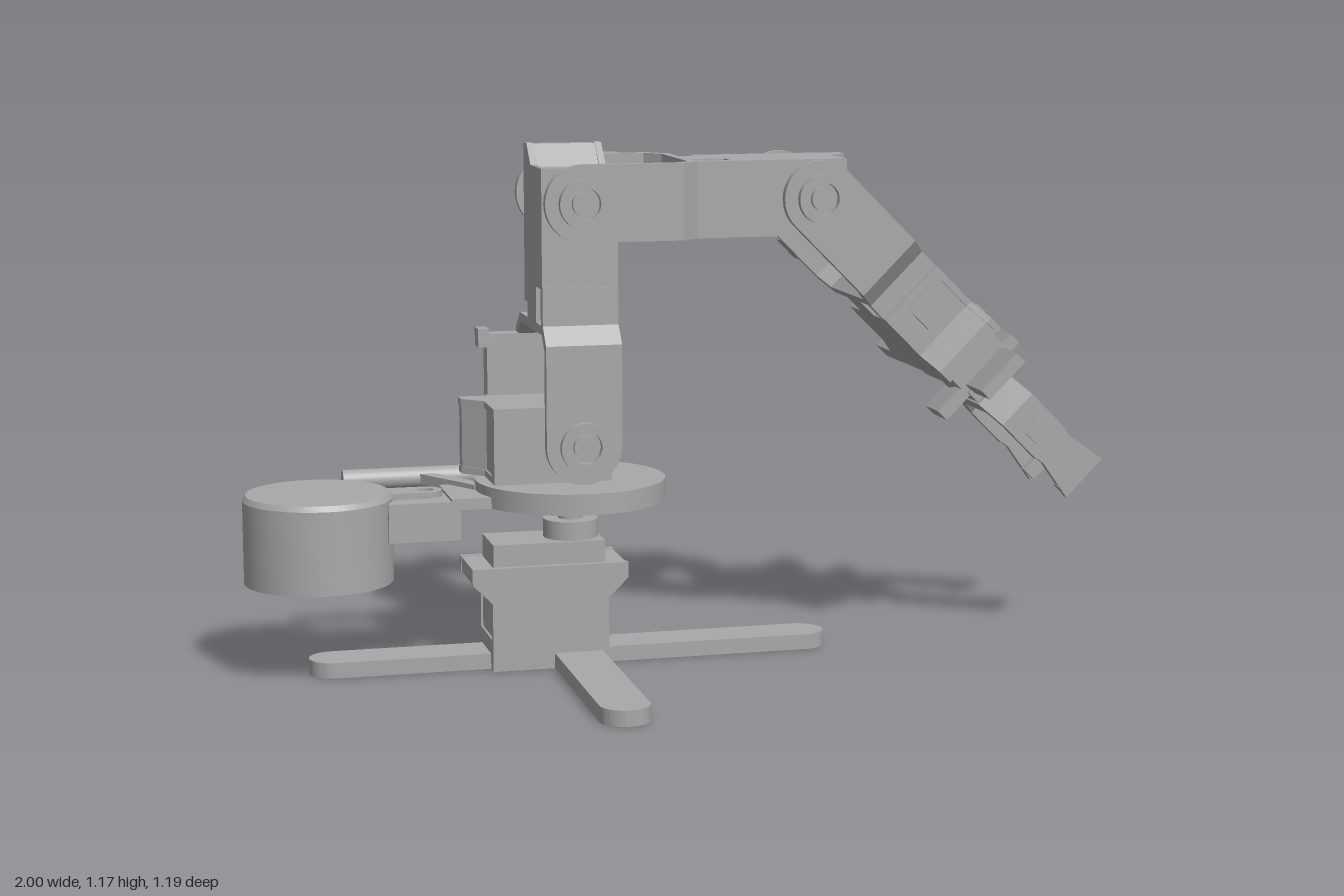
import * as THREE from 'three';
import { toCreasedNormals } from 'three/addons/utils/BufferGeometryUtils.js';

const grey = new THREE.MeshStandardMaterial({ color: 0xa8a8a8 });
grey.name = 'grey plastic';

function add(parent, name, geometry) {
  const m = new THREE.Mesh(geometry, grey);
  m.name = name;
  parent.add(m);
  return m;
}
// box given by its limits on each axis
function box(parent, name, x0, x1, y0, y1, z0, z1) {
  const g = new THREE.BoxGeometry(x1 - x0, y1 - y0, z1 - z0);
  return add(parent, name, g.translate((x0 + x1) / 2, (y0 + y1) / 2, (z0 + z1) / 2));
}
// cylinder along y, or along z, between two limits
function cylY(parent, name, r, x, z, y0, y1) {
  return add(parent, name, new THREE.CylinderGeometry(r, r, y1 - y0, 48).translate(x, (y0 + y1) / 2, z));
}
function cylZ(parent, name, r, z0, z1) {
  const g = new THREE.CylinderGeometry(r, r, z1 - z0, 40).rotateX(Math.PI / 2);
  return add(parent, name, g.translate(0, 0, (z0 + z1) / 2));
}
function extrude(points, depth) {
  const s = new THREE.Shape(points.map(p => new THREE.Vector2(...p)));
  return new THREE.ExtrudeGeometry(s, { depth, bevelEnabled: false });
}
// profile drawn in x and z, thickness along y, centred on y = 0
function extrudeXZ(points, depth) {
  return extrude(points, depth).rotateX(Math.PI / 2).translate(0, depth / 2, 0);
}

// Servo in its holder: shaft along +y at the origin, body top at y = 0
function servo(name) {
  const g = new THREE.Group();
  g.name = name;
  const side = [[-0.195, -0.25], [0.07, -0.25], [0.07, -0.13], [0.115, -0.085],
    [0.115, -0.05], [-0.24, -0.05], [-0.24, -0.085], [-0.195, -0.13]];
  for (const z of [-0.085, 0.07]) add(g, 'holderWall', extrude(side, 0.015).translate(0, 0, z));
  box(g, 'holderFloor', -0.195, 0.07, -0.25, -0.215, -0.08, 0.08);
  box(g, 'servoBody', -0.19, 0.065, -0.22, 0, -0.07, 0.07);
  box(g, 'servoEars', -0.238, 0.113, -0.085, -0.052, -0.075, 0.075);
  // sloped supports below the ears
  for (const [a, b] of [[0.065, 0.113], [-0.19, -0.238]]) {
    const pts = [[a, -0.13], [b, -0.085], [a, -0.085]];
    add(g, 'earGusset', extrude(b > a ? pts : pts.reverse(), 0.15).translate(0, 0, -0.075));
  }
  cylY(g, 'gearbox', 0.062, 0, 0, 0, 0.042);
  cylY(g, 'shaft', 0.028, 0, 0, 0.042, 0.075);
  return g;
}
// servo whose shaft points to the back
function jointServo(parent, x, y) {
  const s = servo('jointServo');
  s.rotation.x = -Math.PI / 2;
  s.position.set(x, y, -0.13);
  parent.add(s);
}

// Arm link: forked bracket around a joint at the origin, running along +x
function link(name, x, y, angle) {
  const g = new THREE.Group();
  g.name = name;
  g.position.set(x, y, 0);
  g.rotation.z = angle;
  add(g, 'fork', extrudeXZ([[0, 0.16], [0, 0.14], [0.212, 0.14], [0.245, 0.112], [0.245, -0.13],
    [0.212, -0.17], [0, -0.17], [0, -0.19], [0.225, -0.19], [0.265, -0.14], [0.265, 0.125], [0.225, 0.16]], 0.17));
  cylZ(g, 'forkEnd', 0.085, 0.14, 0.16);
  cylZ(g, 'forkEnd', 0.085, -0.19, -0.17);
  // hub with a raised ring and a pin
  const ring = [[0.036, 0], [0.055, 0], [0.055, 0.016], [0.036, 0.016], [0.036, 0]].map(p => new THREE.Vector2(...p));
  const ringGeo = toCreasedNormals(new THREE.LatheGeometry(ring, 40), 0.6).rotateX(Math.PI / 2);
  add(g, 'hubRing', ringGeo.translate(0, 0, 0.16));
  cylZ(g, 'hubPin', 0.026, 0.12, 0.172);
  cylZ(g, 'hubBack', 0.05, -0.203, -0.19);
  // clip on the back of the fork
  box(g, 'clip', 0.095, 0.16, -0.085, 0.085, -0.235, -0.215);
  box(g, 'clipFoot', 0.095, 0.16, -0.085, -0.01, -0.216, -0.19);
  box(g, 'clipFoot', 0.095, 0.16, 0.03, 0.085, -0.216, -0.19);
  return g;
}
// spacer from the fork to the next servo holder
function spacer(g, end) {
  box(g, 'spacerCore', 0.26, end, -0.085, 0.085, -0.05, 0.05);
  box(g, 'spacerWall', 0.26, end, -0.085, 0.085, 0.103, 0.125);
}

export function createModel() {
  const model = new THREE.Group();
  model.name = 'robotArm';
  const X = -0.265;

  // cross-shaped foot with rounded ends
  for (const turn of [0, Math.PI / 2]) {
    const s = new THREE.Shape();
    const L = 0.596, w = 0.055;
    s.moveTo(-L + w, -w);
    s.lineTo(L - w, -w);
    s.absarc(L - w, 0, w, -Math.PI / 2, Math.PI / 2);
    s.lineTo(-L + w, w);
    s.absarc(-L + w, 0, w, Math.PI / 2, Math.PI * 1.5);
    const geo = new THREE.ExtrudeGeometry(s, { depth: 0.035, bevelEnabled: false, curveSegments: 14 });
    const leg = add(model, 'footBar', toCreasedNormals(geo.rotateX(-Math.PI / 2), 0.6));
    leg.rotation.y = turn;
    leg.position.x = X;
  }

  // base servo and turntable
  const base = servo('baseServo');
  base.position.set(X, 0.285, 0);
  model.add(base);
  box(model, 'baseBlock', -0.46, -0.195, 0, 0.04, -0.085, 0.085);
  cylY(model, 'turntable', 0.215, X, 0, 0.373, 0.42);

  // counterweight with a hole in its underside
  const profile = [[0, 0.34], [0.05, 0.34], [0.05, 0.212], [0.165, 0.212], [0.165, 0.398], [0.158, 0.41], [0, 0.41]];
  const weight = new THREE.LatheGeometry(profile.map(p => new THREE.Vector2(...p)), 56);
  add(model, 'counterweight', toCreasedNormals(weight, 0.5)).position.x = -0.835;
  box(model, 'weightBracket', -0.69, -0.53, 0.305, 0.392, -0.088, 0.088);
  box(model, 'weightArm', -0.55, -0.43, 0.373, 0.398, -0.088, 0.088);
  const tab = new THREE.Shape();
  tab.moveTo(-0.72, -0.037);
  tab.lineTo(-0.595, -0.037);
  tab.absarc(-0.595, 0, 0.037, -Math.PI / 2, Math.PI / 2);
  tab.lineTo(-0.72, 0.037);
  tab.holes.push(new THREE.Path().absarc(-0.595, 0, 0.018, 0, Math.PI * 2, true));
  const tabGeo = new THREE.ExtrudeGeometry(tab, { depth: 0.016, bevelEnabled: false });
  add(model, 'weightTab', tabGeo.rotateX(-Math.PI / 2).translate(0, 0.39, 0));

  // side rod and its strut
  const rod = new THREE.CylinderGeometry(0.025, 0.025, 0.37, 28).rotateZ(Math.PI / 2);
  add(model, 'sideRod', rod.translate(-0.57, 0.397, -0.196));
  const strut = box(model, 'rodStrut', -0.1, 0.1, -0.012, 0.012, -0.016, 0.016);
  strut.position.set(-0.52, 0.397, -0.105);
  strut.rotation.y = -1.03;

  // shoulder servo and the lever behind it
  jointServo(model, X, 0.515);
  box(model, 'lever', -0.425, -0.35, 0.59, 0.73, -0.195, -0.15);
  box(model, 'leverTip', -0.445, -0.42, 0.7, 0.742, -0.195, -0.15);
  box(model, 'leverFoot', -0.425, -0.35, 0.42, 0.6, -0.195, -0.175);

  // upright and horizontal links
  for (const [name, y, angle] of [['upperArm', 0.515, Math.PI / 2], ['forearm', 1.05, 0]]) {
    const g = link(name, X, y, angle);
    spacer(g, 0.35);
    jointServo(g, 0.54, 0);
    model.add(g);
  }

  // wrist link with a servo turning about the arm's length
  const wrist = link('wrist', 0.275, 1.05, -Math.PI / 4);
  spacer(wrist, 0.32);
  const ws = servo('wristServo');
  ws.quaternion.setFromRotationMatrix(new THREE.Matrix4().makeBasis(
    new THREE.Vector3(0, 0, -1), new THREE.Vector3(1, 0, 0), new THREE.Vector3(0, -1, 0)));
  ws.position.set(0.56, 0, -0.062);
  wrist.add(ws);
  box(wrist, 'wristPlate', 0.475, 0.512, -0.085, 0.085, -0.282, -0.17);
  box(wrist, 'wristTab', 0.475, 0.505, 0.08, 0.108, -0.12, 0.04);
  box(wrist, 'bodyRib', 0.33, 0.4, -0.03, 0.04, 0.12, 0.137);
  model.add(wrist);

  // gripper, centred on the wrist shaft
  const grip = new THREE.Group();
  grip.name = 'gripper';
  grip.position.z = -0.065;
  wrist.add(grip);
  box(grip, 'hornBar', 0.61, 0.64, -0.035, 0.085, -0.16, 0.16);
  box(grip, 'hornCross', 0.61, 0.64, -0.125, 0.125, -0.045, 0.045);
  box(grip, 'palmCore', 0.63, 0.69, -0.045, 0.045, -0.06, 0.06);
  const fork = [[0.66, -0.075], [0.72, -0.125], [0.84, -0.125], [0.84, -0.105], [0.73, -0.105], [0.69, -0.07],
    [0.69, 0.07], [0.73, 0.105], [0.84, 0.105], [0.84, 0.125], [0.72, 0.125], [0.66, 0.075]];
  add(grip, 'palm', extrudeXZ(fork, 0.1));
  const tip = [[0.82, -0.05], [0.86, -0.045], [0.96, -0.062], [0.96, 0.062], [0.86, 0.045], [0.82, 0.05]];
  for (const side of [-1, 1]) {
    add(grip, 'finger', extrude(tip, 0.02).translate(0, 0, side * 0.115 - 0.01));
    box(grip, 'fingerPad', 0.925, 0.96, -0.058, 0.058, side * 0.105 - 0.012, side * 0.105 + 0.012);
    box(grip, 'fingerStud', 0.765, 0.81, -0.025, 0.025, side * 0.125 - 0.005, side * 0.125 + 0.005);
  }
  return model;
}
